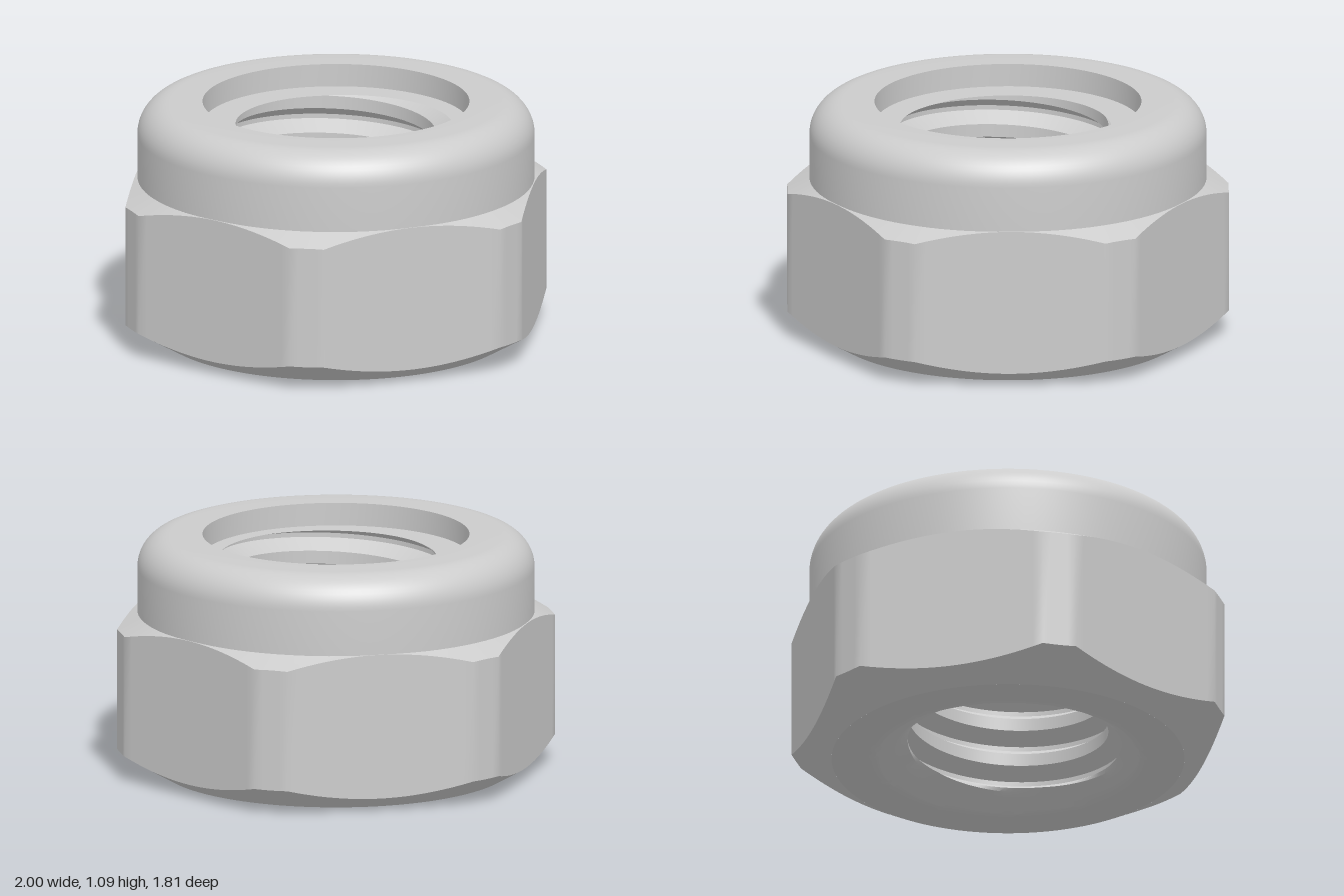
import * as THREE from 'three';
import { toCreasedNormals } from 'three/addons/utils/BufferGeometryUtils.js';

const TAU = Math.PI * 2;
const SLOPE = Math.tan(Math.PI / 6);   // 30 degree chamfers
const APOTHEM = 0.905;                 // centre to flat of the hexagon
const PITCH = 0.175, MINOR = 0.455, MAJOR = 0.53, SEAT_Y = 0.98;

// Skin a profile around y: profile(angle) returns [radius, y] points
function loft(name, angles, profile, crease) {
  const pos = [];
  const cols = angles.map(a => profile(a).map(([r, y]) =>
    new THREE.Vector3(r * Math.cos(a), y, -r * Math.sin(a))));
  const tri = (a, b, c) => {
    if (a.distanceTo(b) < 1e-5 || b.distanceTo(c) < 1e-5 || c.distanceTo(a) < 1e-5) return;
    for (const p of [a, b, c]) pos.push(p.x, p.y, p.z);
  };
  for (let i = 0; i < cols.length - 1; i++) {
    const p = cols[i], q = cols[i + 1];
    for (let j = 0; j < p.length - 1; j++) {
      tri(p[j], p[j + 1], q[j]);
      tri(q[j], p[j + 1], q[j + 1]);
    }
  }
  const geo = new THREE.BufferGeometry();
  geo.setAttribute('position', new THREE.Float32BufferAttribute(pos, 3));
  const mesh = new THREE.Mesh(toCreasedNormals(geo, crease),
    new THREE.MeshStandardMaterial({ color: 0xcccccc }));
  mesh.name = name;
  return mesh;
}

const round = Array.from({ length: 121 }, (_, i) => i / 120 * TAU);

// Hexagon with its six corners clipped flat at radius 1
const clip = Math.atan((APOTHEM - Math.cos(Math.PI / 6)) / 0.5);
function hexAngles() {
  const list = [];
  for (let k = 0; k < 6; k++) {
    const c = k * TAU / 6;
    for (let i = 0; i < 4; i++) list.push(c - clip + 2 * clip * i / 4);
    for (let i = 0; i < 20; i++) list.push(c + clip + (TAU / 6 - 2 * clip) * i / 20);
  }
  list.push(TAU - clip);
  return list;
}
function hexRadius(a) {
  const s = TAU / 6;
  const d = a - Math.round(a / s) * s;      // angle from nearest corner
  return Math.min(1 / Math.cos(d), APOTHEM / Math.cos(s / 2 - Math.abs(d)));
}
function hexProfile(a) {
  const r = hexRadius(a);
  return [[0.895, 0.73], [r, 0.73 - (r - APOTHEM) * SLOPE], [r, (r - 0.8) * SLOPE], [0.8, 0]];
}

// Collar with rounded shoulder and a recess in its top
function collarProfile() {
  const pts = [[0.605, SEAT_Y], [0.605, 1.085]];
  for (let i = 0; i <= 12; i++) {
    const t = i / 12 * Math.PI / 2;
    pts.push([0.75 + 0.15 * Math.sin(t), 0.935 + 0.15 * Math.cos(t)]);
  }
  pts.push([0.9, 0.725]);
  return pts;
}

// Right-hand trapezoid thread, opened by a countersink at the bottom
function boreRadius(a, y) {
  const u = (y - SEAT_Y) / PITCH - (a + Math.PI / 4) / TAU;
  const d = Math.abs(u - Math.round(u));
  const t = THREE.MathUtils.clamp((0.33 - d) / 0.27, 0, 1);
  return Math.max(MINOR + (MAJOR - MINOR) * t, 0.6 - y / SLOPE);
}
function boreProfile(a) {
  const pts = [[0.8, 0], [0.64, 0]];
  for (let n = -8; n <= 1; n++) {
    for (const u of [-0.415, -0.33, -0.24, -0.15, -0.06, 0.06, 0.15, 0.24, 0.33, 0.415]) {
      const y = THREE.MathUtils.clamp(
        SEAT_Y + PITCH * (n + u + (a + Math.PI / 4) / TAU), 0, SEAT_Y);
      pts.push([boreRadius(a, y), y]);
    }
  }
  pts.push([0.605, SEAT_Y]);
  return pts;
}

export function createModel() {
  const nut = new THREE.Group();
  nut.name = 'lockNut';
  nut.add(
    loft('hexBody', hexAngles(), hexProfile, 0.54),
    loft('collar', round, collarProfile, 0.5),
    loft('threadedBore', round, boreProfile, 0.54)
  );
  return nut;
}
